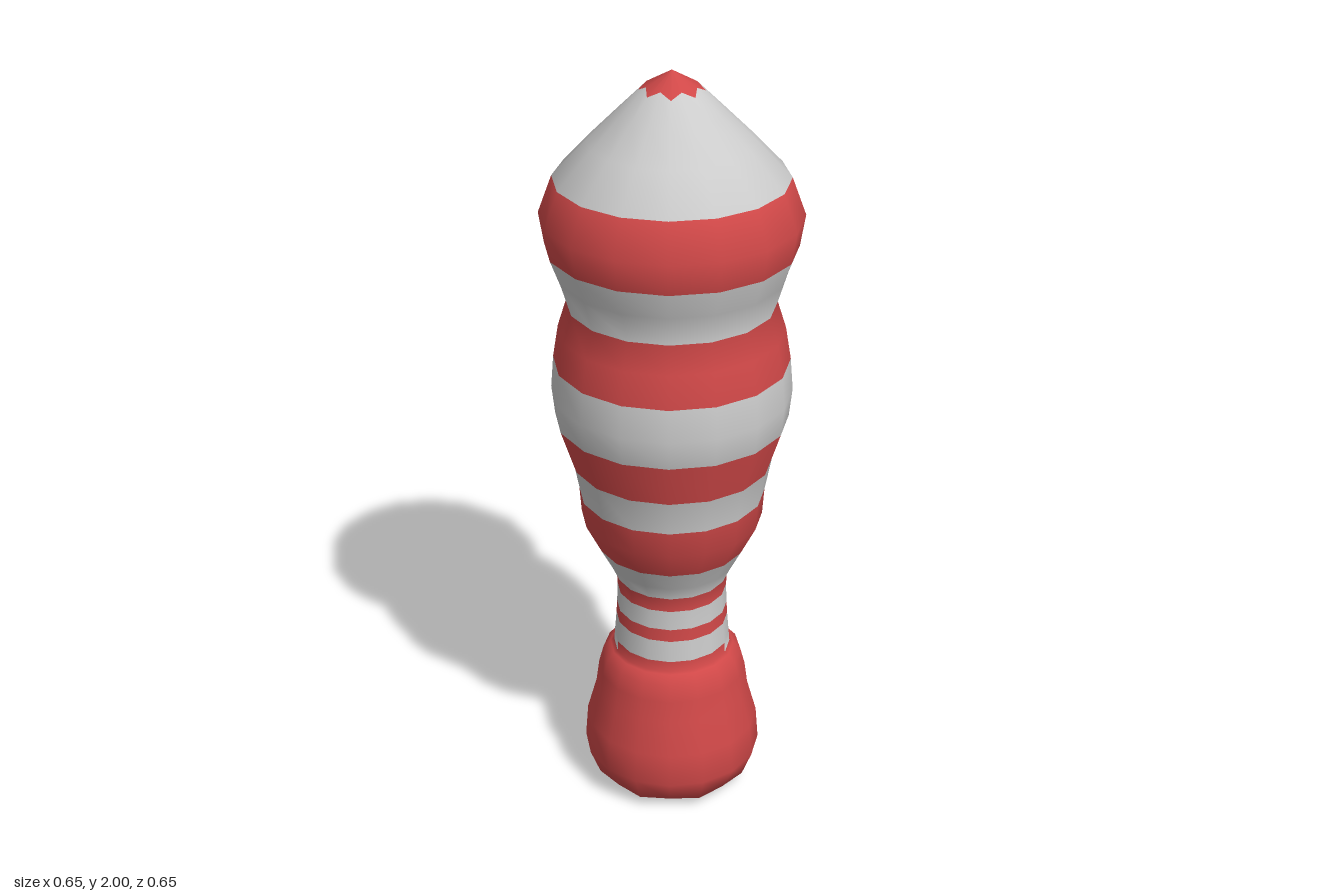
import * as THREE from 'three';

const SIDES = 16;

// Profile from the underside to the tip: [radius, height]
const PROFILE = [
  [0, 0], [0.08, 0], [0.15, 0.008], [0.21, 0.03], [0.237, 0.1], [0.23, 0.19], [0.205, 0.28],
  [0.197, 0.34], [0.185, 0.385], [0.165, 0.408], [0.155, 0.412],
  [0.153, 0.44], [0.148, 0.5], [0.146, 0.535], [0.144, 0.59], [0.146, 0.63],
  [0.165, 0.672], [0.195, 0.73], [0.235, 0.81], [0.24, 0.88], [0.258, 0.975],
  [0.297, 1.095], [0.305, 1.17], [0.298, 1.255], [0.284, 1.34], [0.262, 1.41],
  [0.286, 1.49], [0.312, 1.56], [0.325, 1.64], [0.29, 1.735],
  [0.205, 1.825], [0.13, 1.9], [0.065, 1.964], [0, 2],
];

// Bands from the bottom up: [name, top height, is red]
const BANDS = [
  ['base', 0.412, true], ['baseCollar', 0.44, false],
  ['neckLower', 0.5, false], ['neckRingLower', 0.535, true],
  ['neckUpper', 0.59, false], ['neckRingUpper', 0.63, true],
  ['flare', 0.73, false], ['stripeLowest', 0.88, true],
  ['bodyLower', 0.975, false], ['stripeLower', 1.095, true],
  ['bodyMiddle', 1.255, false], ['stripeUpper', 1.41, true],
  ['waist', 1.56, false], ['stripeTop', 1.735, true],
  ['cone', 1.964, false], ['starTip', 2, true],
];

export function createModel() {
  const group = new THREE.Group();
  const grey = new THREE.MeshStandardMaterial({ color: 0xcccccc });
  const red = new THREE.MeshStandardMaterial({ color: 0xd04848 });

  const n = PROFILE.length;
  const lathe = new THREE.LatheGeometry(PROFILE.map(p => new THREE.Vector2(...p)), SIDES);
  const pos = lathe.attributes.position;

  // Every second side: star points at the tip, flattened corners on the underside
  for (let i = 1; i < SIDES; i += 2) {
    const reshape = (ring, scale, drop) => {
      const k = i * n + ring;
      pos.setXYZ(k, pos.getX(k) * scale, pos.getY(k) - drop, pos.getZ(k) * scale);
    };
    reshape(n - 2, 1.23, 0.014);
    reshape(1, 0.93, 0);
    reshape(2, 0.93, 0);
    reshape(3, 0.95, 0);
  }

  // A band is a run of lathe rows sharing the smooth normals of the whole body
  const addBand = (name, material, from, to, keepSide = () => true) => {
    const index = [];
    for (let i = 0; i < SIDES; i++) {
      if (!keepSide(i)) continue;
      for (let j = from; j < to; j++) {
        const start = (i * (n - 1) + j) * 6;
        for (let k = 0; k < 6; k++) index.push(lathe.index.getX(start + k));
      }
    }
    const geometry = new THREE.BufferGeometry();
    for (const key of ['position', 'normal', 'uv']) geometry.setAttribute(key, lathe.attributes[key]);
    geometry.setIndex(index);
    const mesh = new THREE.Mesh(geometry, material);
    mesh.name = name;
    group.add(mesh);
  };

  let from = 0;
  for (const [name, top, isRed] of BANDS) {
    const to = PROFILE.findIndex(p => p[1] === top);
    if (name === 'baseCollar') {
      // The collar is red only around part of the front
      const inFront = i => i >= 12 || i < 2;
      addBand('baseCollarRed', red, from, to, inFront);
      addBand('baseCollarGrey', grey, from, to, i => !inFront(i));
    } else {
      addBand(name, isRed ? red : grey, from, to);
    }
    from = to;
  }

  group.name = 'stripedFloat';
  return group;
}
